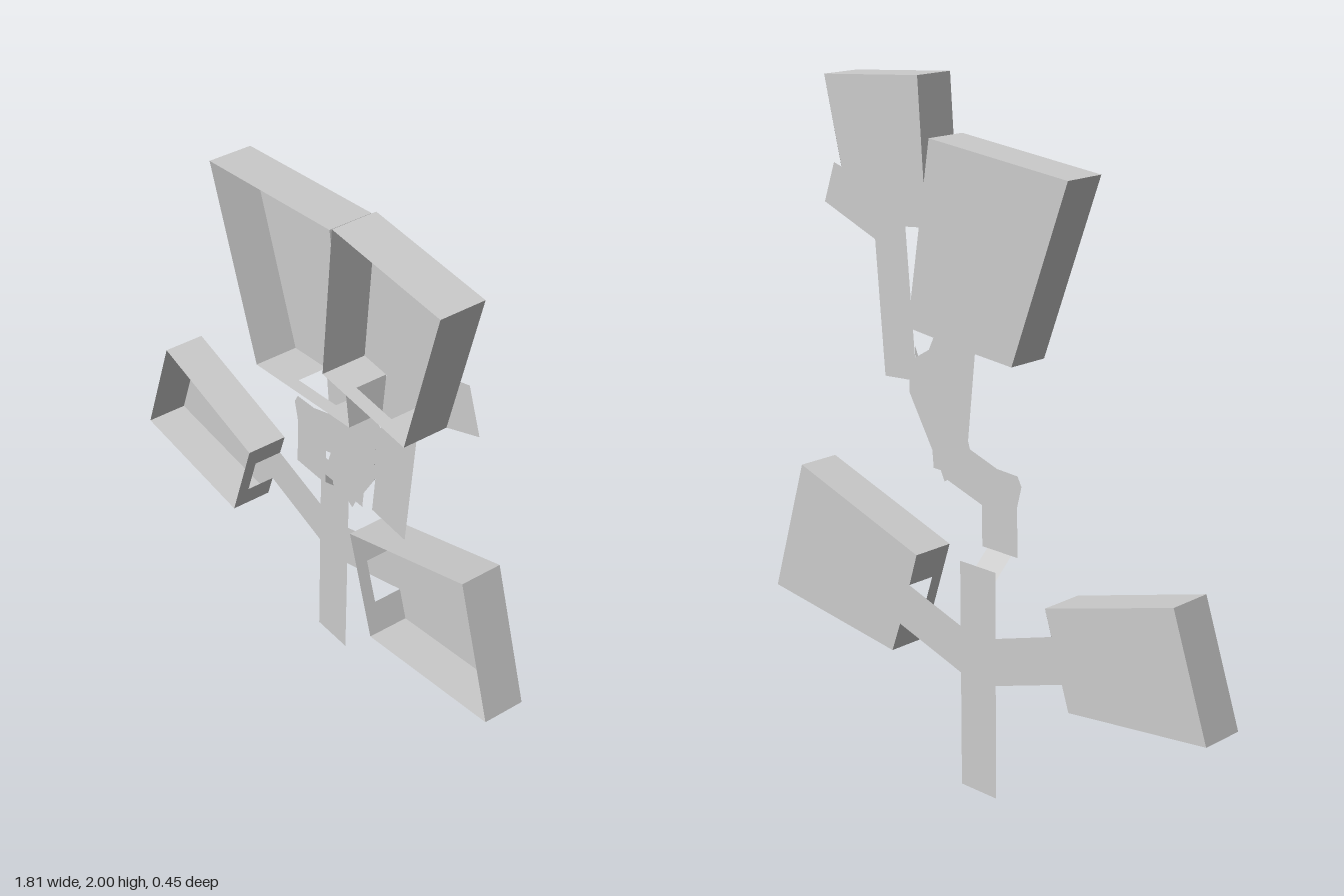
import * as THREE from 'three';

const material = new THREE.MeshStandardMaterial({ color: 0xcccccc, side: THREE.DoubleSide, flatShading: true });
const DEPTH = 0.135;   // height of the folded tray walls
const NOTCH = 0.095;   // height of the opening where an arm enters a tray

// Sheet levels from back to front
const BASE_Z = -0.225, ELBOW_Z = -0.135, CENTRE_Z = -0.045, UPPER_Z = 0.09;

const flat = (points) => new THREE.ShapeGeometry(new THREE.Shape(points.map(([x, y]) => new THREE.Vector2(x, y))));

function addMesh(parent, name, geometry) {
  const mesh = new THREE.Mesh(geometry, material);
  mesh.name = name;
  parent.add(mesh);
  return mesh;
}

// Flat cut sheet facing front
function addSheet(parent, name, z, points) {
  addMesh(parent, name, flat(points)).position.z = z;
}

// Wall standing on the line a-b, optionally notched between distances n0 and n1
function addWall(parent, z, a, b, notch) {
  const along = new THREE.Vector3(b[0] - a[0], b[1] - a[1], 0);
  const length = along.length();
  along.normalize();
  const up = new THREE.Vector3(0, 0, 1);
  const outline = [[0, 0]];
  if (notch) {
    const [n0, n1] = notch.map((t) => t * length);
    outline.push([n0, 0], [n0, NOTCH], [n1, NOTCH], [n1, 0]);
  }
  outline.push([length, 0], [length, DEPTH], [0, DEPTH]);
  const geometry = flat(outline);
  geometry.applyMatrix4(new THREE.Matrix4()
    .makeBasis(along, up, along.clone().cross(up))
    .setPosition(a[0], a[1], z));
  addMesh(parent, 'trayWall', geometry);
}

// Open tray: four folded walls; the first side carries the notch for the arm
function addTray(parent, name, z, corners, notch) {
  const tray = new THREE.Group();
  tray.name = name;
  corners.forEach((a, i) => addWall(tray, z, a, corners[(i + 1) % 4], i === 0 ? notch : null));
  parent.add(tray);
}

// Sloping strip joining two sheet levels: from edge p0-p1 at z0 to edge q0-q1 at z1
function addRamp(parent, name, [p0, p1], z0, [q0, q1], z1) {
  const geometry = new THREE.BufferGeometry();
  geometry.setAttribute('position', new THREE.Float32BufferAttribute(
    [...p0, z0, ...p1, z0, ...q1, z1, ...q0, z1], 3));
  geometry.setIndex([0, 1, 2, 0, 2, 3]);
  geometry.computeVertexNormals();
  addMesh(parent, name, geometry);
}

export function createModel() {
  const model = new THREE.Group();
  model.name = 'foldedSheetBranch';

  // Rear sheet: stem, two side arms and the backs of both lower trays
  addSheet(model, 'stemSheet', BASE_Z, [
    [-0.14, 0], [0, 0], [0, 0.355], [0.255, 0.435], [0.29, 0.34], [0.815, 0.41], [0.68, 0.835],
    [0.18, 0.67], [0.212, 0.568], [0, 0.5], [0, 0.7], [-0.14, 0.7], [-0.14, 0.5],
    [-0.355, 0.568], [-0.33, 0.645], [-0.785, 0.773], [-0.905, 0.415], [-0.42, 0.36],
    [-0.395, 0.437], [-0.14, 0.355],
  ]);
  addTray(model, 'lowerLeftTray', BASE_Z,
    [[0.18, 0.67], [0.29, 0.34], [0.815, 0.41], [0.68, 0.835]], [0.31, 0.71]);
  addTray(model, 'lowerRightTray', BASE_Z,
    [[-0.42, 0.36], [-0.33, 0.645], [-0.785, 0.773], [-0.905, 0.415]], [0.27, 0.73]);

  // Bent elbow sheet
  addSheet(model, 'elbowSheet', ELBOW_Z, [
    [-0.14, 0.72], [0, 0.72], [0, 0.845], [0.145, 0.89], [0.135, 0.97], [0.105, 1.02],
    [-0.06, 0.967], [-0.14, 0.963], [-0.155, 0.935], [-0.138, 0.87],
  ]);

  // Centre sheet with its neck and tray back
  addSheet(model, 'centreSheet', CENTRE_Z, [
    [-0.03, 1.24], [0.115, 1.252], [0.145, 0.985], [0.12, 0.905], [0.15, 0.885], [0.155, 0.86],
    [0.2, 0.863], [0.245, 0.838], [0.26, 0.87], [0.29, 0.87], [0.295, 0.925], [0.39, 1.085],
    [0.39, 1.18], [0.305, 1.23], [0.285, 1.27], [0.393, 1.282], [0.295, 1.852], [-0.24, 1.797],
  ]);
  addTray(model, 'centreTray', CENTRE_Z,
    [[-0.03, 1.24], [0.393, 1.282], [0.295, 1.852], [-0.24, 1.797]], [0.34, 0.74]);

  // Front sheet with a long arm, side tab and tray back
  addSheet(model, 'upperSheet', UPPER_Z, [
    [0.5, 1.07], [0.64, 1.06], [0.675, 1.485], [0.902, 1.572], [0.855, 1.7], [0.82, 1.69],
    [0.89, 1.967], [0.48, 2.0], [0.45, 1.552], [0.54, 1.543],
  ]);
  addTray(model, 'upperTray', UPPER_Z,
    [[0.45, 1.552], [0.78, 1.525], [0.89, 1.967], [0.48, 2.0]], [0.27, 0.7]);

  // Ramps joining the levels
  addRamp(model, 'stemRamp', [[-0.115, 0.635], [-0.02, 0.635]], BASE_Z,
    [[-0.115, 0.72], [-0.02, 0.72]], ELBOW_Z);
  addRamp(model, 'elbowRamp', [[0.06, 0.98], [0.06, 0.885]], ELBOW_Z,
    [[0.15, 0.98], [0.15, 0.885]], CENTRE_Z);
  addRamp(model, 'upperRamp', [[0.34, 1.18], [0.34, 1.085]], CENTRE_Z,
    [[0.505, 1.18], [0.505, 1.085]], UPPER_Z);

  return model;
}
